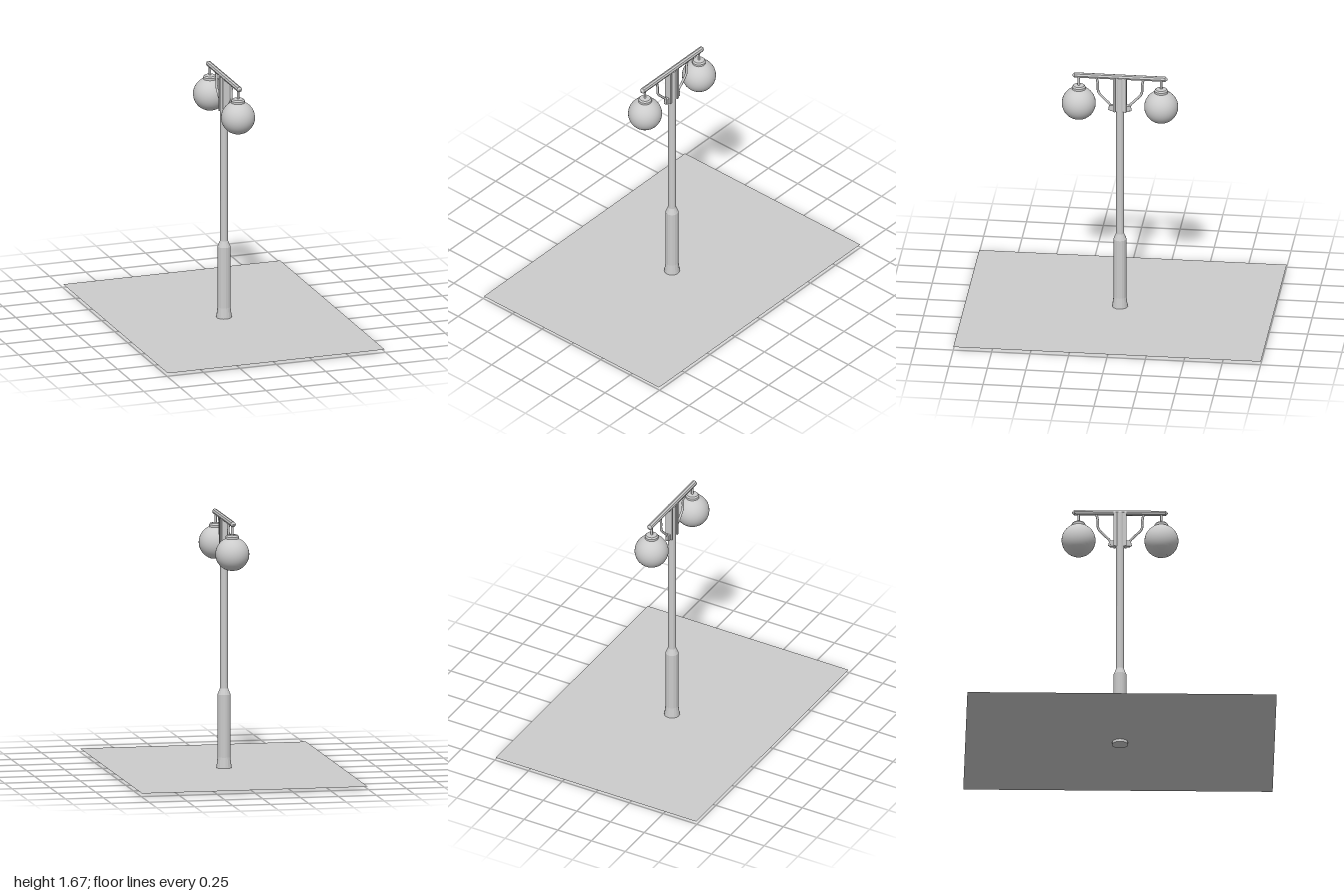
import * as THREE from 'three';

const grey = new THREE.MeshStandardMaterial({ color: 0xcccccc });
const greyFlat = new THREE.MeshStandardMaterial({ color: 0xcccccc, flatShading: true });
const greyDouble = new THREE.MeshStandardMaterial({ color: 0xcccccc, side: THREE.DoubleSide });

function add(parent, name, geometry, material = grey, x = 0, y = 0, z = 0) {
  const mesh = new THREE.Mesh(geometry, material);
  mesh.name = name;
  mesh.position.set(x, y, z);
  parent.add(mesh);
  return mesh;
}

const lathe = (points, sides) =>
  new THREE.LatheGeometry(points.map(([r, y]) => new THREE.Vector2(r, y)), sides);

// Globe with its flat bottom, collar and hanging stem, around the globe centre
function makeLamp() {
  const lamp = new THREE.Group();
  lamp.name = 'lamp';
  const r = 0.11;
  const cut = Math.asin(0.035 / r);
  add(lamp, 'globe', new THREE.SphereGeometry(r, 32, 20, 0, Math.PI * 2, 0, Math.PI - cut));
  const bottom = add(lamp, 'globeBottom', new THREE.CircleGeometry(0.035, 24), grey, 0, -r * Math.cos(cut), 0);
  bottom.rotation.x = Math.PI / 2;
  add(lamp, 'collar', lathe([[0, 0.09], [0.044, 0.095], [0.044, 0.115], [0.036, 0.125], [0.012, 0.128], [0, 0.128]], 20), greyFlat);
  add(lamp, 'stem', new THREE.CylinderGeometry(0.008, 0.008, 0.07, 10), grey, 0, 0.155, 0);
  return lamp;
}

// Bent brace running from the post up to the beam, on the +z side
function makeBrace() {
  const brace = new THREE.Group();
  brace.name = 'brace';
  const path = new THREE.CatmullRomCurve3([
    [0.045, 1.418], [0.068, 1.418], [0.064, 1.45], [0.1, 1.492],
    [0.14, 1.54], [0.144, 1.6], [0.152, 1.64],
  ].map(([z, y]) => new THREE.Vector3(0, y, z)));
  add(brace, 'braceRod', new THREE.TubeGeometry(path, 32, 0.008, 8, false), greyDouble);
  add(brace, 'braceFoot', new THREE.BoxGeometry(0.026, 0.04, 0.022), grey, 0, 1.432, 0.052);
  return brace;
}

export function createModel() {
  const model = new THREE.Group();
  model.name = 'streetLamp';

  // Paved ground sheet, with the post's foot reaching just below it
  const ground = add(model, 'groundSheet', new THREE.PlaneGeometry(1.49, 2), greyDouble, 0, 0.02, 0);
  ground.rotation.x = -Math.PI / 2;

  // Flared base, sleeve and slim shaft
  add(model, 'post', lathe([
    [0, 0], [0.053, 0], [0.042, 0.09], [0.042, 0.5], [0.026, 0.54], [0.025, 1.65], [0, 1.65],
  ], 16), greyFlat);

  // Bracket plates clasping the head of the post
  for (const side of [1, -1]) {
    add(model, 'bracketPlate', new THREE.BoxGeometry(0.046, 0.24, 0.014), grey, 0, 1.53, side * 0.036);
  }
  add(model, 'bracketCore', new THREE.BoxGeometry(0.032, 0.24, 0.06), grey, 0, 1.53, 0);

  // Cross beam with tapered ends
  const beam = add(model, 'crossBeam', lathe([
    [0, -0.31], [0.006, -0.308], [0.018, -0.295], [0.018, 0.295], [0.006, 0.308], [0, 0.31],
  ], 8), greyFlat, 0, 1.652, 0);
  beam.rotation.x = Math.PI / 2;

  // Matching lamp and brace on each side
  for (const turn of [0, Math.PI]) {
    const arm = new THREE.Group();
    arm.name = turn ? 'backArm' : 'frontArm';
    const lamp = makeLamp();
    lamp.position.set(0, 1.455, 0.268);
    arm.add(lamp, makeBrace());
    arm.rotation.y = turn;
    model.add(arm);
  }

  return model;
}
